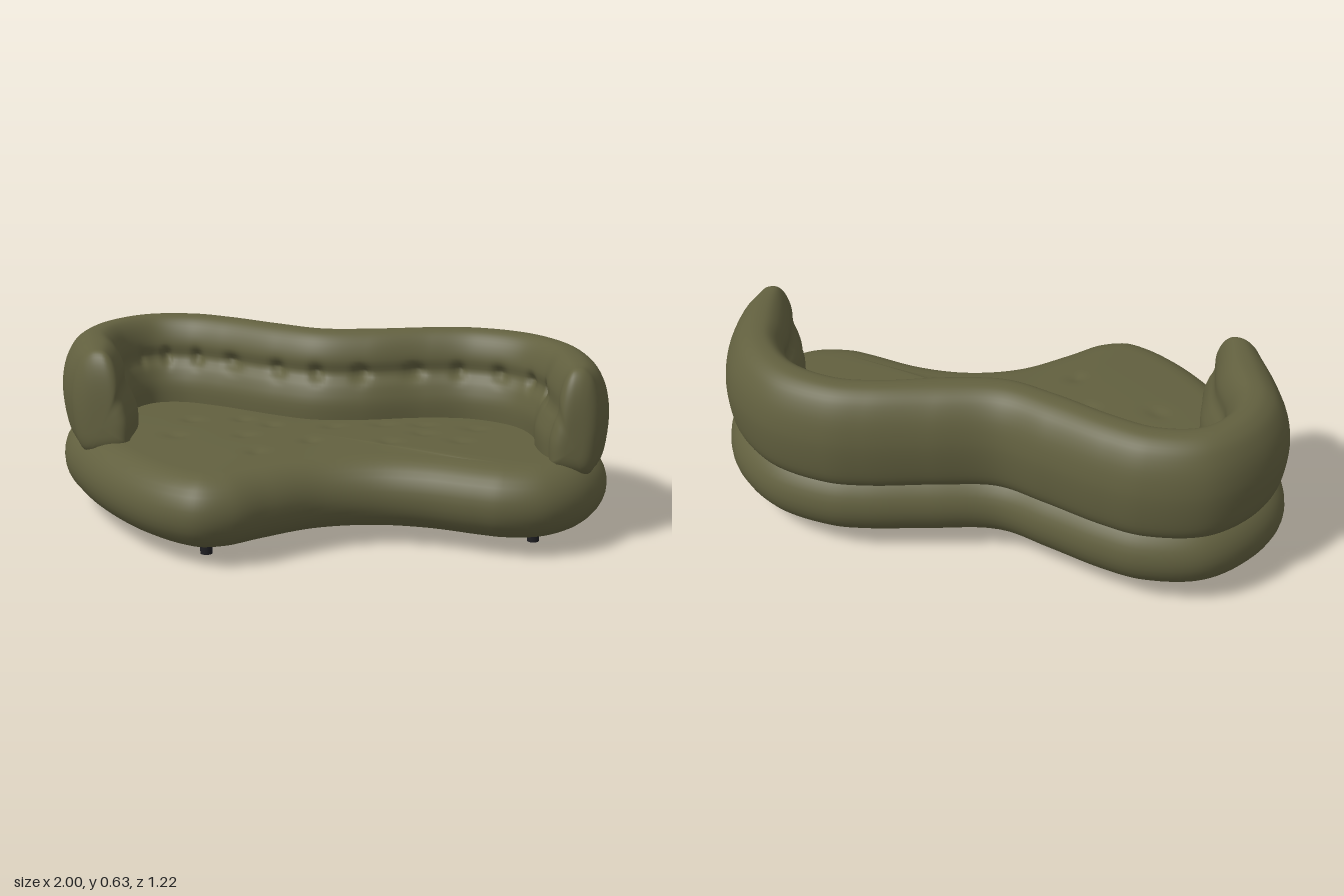
import * as THREE from 'three';

// Surface through rows of points; each row is a closed loop
function skin(rows) {
  const n = rows[0].length, pos = [], idx = [];
  rows.forEach(row => row.forEach(p => pos.push(...p)));
  for (let r = 0; r < rows.length - 1; r++) {
    for (let c = 0; c < n; c++) {
      const a = r * n + c, b = r * n + (c + 1) % n;
      idx.push(a, b, b + n, a, b + n, a + n);
    }
  }
  const g = new THREE.BufferGeometry();
  g.setAttribute('position', new THREE.Float32BufferAttribute(pos, 3));
  g.setIndex(idx);
  g.computeVertexNormals();
  return g;
}

const planCurve = (pts, closed) =>
  new THREE.CatmullRomCurve3(pts.map(([x, z]) => new THREE.Vector3(x, 0, z)), closed);

// Plan outline of the base, from the back dip round by -x, front and +x
const OUTLINE = [
  [-0.07, -0.475], [-0.25, -0.525], [-0.45, -0.588], [-0.6, -0.61], [-0.81, -0.555], [-0.945, -0.4],
  [-1, -0.21], [-0.945, 0], [-0.865, 0.135], [-0.72, 0.32], [-0.53, 0.495], [-0.38, 0.582],
  [-0.27, 0.605], [-0.155, 0.555], [-0.05, 0.44], [0.085, 0.31], [0.245, 0.243], [0.41, 0.233],
  [0.59, 0.265], [0.69, 0.275], [0.84, 0.232], [0.95, 0.11], [1, -0.09], [0.965, -0.27],
  [0.875, -0.43], [0.7, -0.565], [0.485, -0.61], [0.35, -0.592], [0.14, -0.53],
];

// Button dimples on the seat
const DIMPLES = [
  [-0.32, -0.16], [-0.2, -0.11], [0.02, -0.14], [0.19, -0.21], [0.35, -0.13], [0.33, -0.24], [-0.26, 0.04],
  [-0.5, 0.08], [-0.02, 0.05], [-0.17, 0.22], [0.25, 0], [0.52, -0.24], [0.49, -0.07], [-0.5, -0.12],
];

function baseGeometry() {
  const curve = planCurve(OUTLINE, true), N = 200, R = 0.127, rows = [];
  const rim = [];
  for (let i = 0; i < N; i++) {
    const p = curve.getPoint(i / N), t = curve.getTangent(i / N);
    rim.push([p.x, p.z, -t.z, t.x]);
  }
  const ring = (inset, y, f = 0) => rim.map(([x, z, nx, nz]) => {
    const px = THREE.MathUtils.lerp(x - nx * inset, -0.1, f);
    const pz = THREE.MathUtils.lerp(z - nz * inset, -0.05, f);
    let h = y;
    if (f > 0 && y > 0.2) {
      h += 0.013 * (1 - (1 - f) ** 2);
      for (const [dx, dz] of DIMPLES) h -= 0.009 * Math.exp(-((px - dx) ** 2 + (pz - dz) ** 2) / 0.0009);
    }
    return [px, h, pz];
  });
  for (const f of [1, 0.5, 0.05]) rows.push(ring(R, 0.055, f));
  for (let k = 0; k <= 16; k++) {
    const a = (k / 16 - 0.5) * Math.PI;
    rows.push(ring(R * (1 - Math.cos(a)), 0.1825 + 0.1275 * Math.sin(a)));
  }
  for (let k = 1; k <= 36; k++) rows.push(ring(R, 0.31, k / 36));
  return skin(rows);
}

// Matching outer and inner plan points of the backrest, from one arm to the other
const BACK = [
  [-0.865, 0.13, -0.64, 0.15], [-0.942, 0, -0.665, -0.02], [-0.998, -0.18, -0.725, -0.15],
  [-0.955, -0.375, -0.745, -0.25], [-0.815, -0.55, -0.7, -0.335], [-0.6, -0.61, -0.61, -0.362],
  [-0.45, -0.588, -0.46, -0.328], [-0.25, -0.525, -0.24, -0.25], [-0.07, -0.475, -0.07, -0.215],
  [0.14, -0.53, 0.1, -0.245], [0.35, -0.592, 0.31, -0.335], [0.485, -0.61, 0.48, -0.367],
  [0.7, -0.565, 0.64, -0.31], [0.875, -0.43, 0.725, -0.19], [0.965, -0.27, 0.745, -0.08],
  [1, -0.09, 0.78, 0.01], [0.985, 0.01, 0.81, 0.05],
];

// Backrest section: fraction of the way from outside to inside, height
const SECTION = [
  [0.3, 0.25], [0.14, 0.27], [0.05, 0.32], [0, 0.43], [0.04, 0.51], [0.16, 0.58], [0.31, 0.615],
  [0.46, 0.625], [0.61, 0.617], [0.74, 0.58], [0.81, 0.53], [0.82, 0.48], [0.91, 0.43], [0.98, 0.37], [0.97, 0.28],
];

function backGeometry() {
  const outer = planCurve(BACK.map(b => [b[0], b[1]])), inner = planCurve(BACK.map(b => [b[2], b[3]]));
  const section = new THREE.CatmullRomCurve3(SECTION.map(([s, y]) => new THREE.Vector3(s, y, 0))).getPoints(56);
  const N = 220, rows = [];
  const station = t => {
    const o = outer.getPoint(t), i = inner.getPoint(t);
    // Row of button tufts along the inner face
    const fade = THREE.MathUtils.smoothstep(t, 0.2, 0.25) * (1 - THREE.MathUtils.smoothstep(t, 0.84, 0.9));
    const tuft = fade * (0.03 + 0.1 * Math.cos(t * 18 * Math.PI) ** 8);
    return section.map(({ x: s, y }) => {
      const k = s > 0.6 ? s - tuft * Math.exp(-(((y - 0.48) / 0.025) ** 2)) : s;
      return [o.x + (i.x - o.x) * k, y, o.z + (i.z - o.z) * k];
    });
  };
  // Rounded arm end
  const cap = (t, sign) => {
    const mid = u => outer.getPoint(u).add(inner.getPoint(u)).multiplyScalar(0.5);
    const m = mid(t), dir = m.clone().sub(mid(t - sign * 0.04)).normalize(), loop = station(t), rings = [];
    for (let k = 1; k <= 12; k++) {
      const a = k / 12 * Math.PI / 2, s = k === 12 ? 0 : Math.cos(a) ** 0.55, d = 0.068 * Math.sin(a);
      rings.push(loop.map(([x, y, z]) =>
        [m.x + (x - m.x) * s + dir.x * d, 0.36 + (y - 0.36) * s, m.z + (z - m.z) * s + dir.z * d]));
    }
    return rings;
  };
  rows.push(...cap(0, -1).reverse());
  for (let i = 0; i <= N; i++) rows.push(station(i / N));
  rows.push(...cap(1, 1));
  return skin(rows);
}

export function createModel() {
  const fabric = new THREE.MeshStandardMaterial({ color: 0x62603f });
  fabric.name = 'olive fabric';
  const dark = new THREE.MeshStandardMaterial({ color: 0x1e1e22 });
  dark.name = 'dark leg';

  const sofa = new THREE.Group();
  sofa.name = 'sofa';
  const add = (name, geometry, material) => {
    const mesh = new THREE.Mesh(geometry, material);
    mesh.name = name;
    sofa.add(mesh);
    return mesh;
  };
  add('seat', baseGeometry(), fabric);
  add('backrest', backGeometry(), fabric);

  const legGeometry = new THREE.CylinderGeometry(0.021, 0.021, 0.07, 20);
  const legs = [[-0.3, 0.4], [-0.735, 0.02], [-0.685, -0.37], [0.065, -0.3], [0.645, -0.37], [0.765, 0.02]];
  for (const [x, z] of legs) add('leg', legGeometry, dark).position.set(x, 0.035, z);
  return sofa;
}
